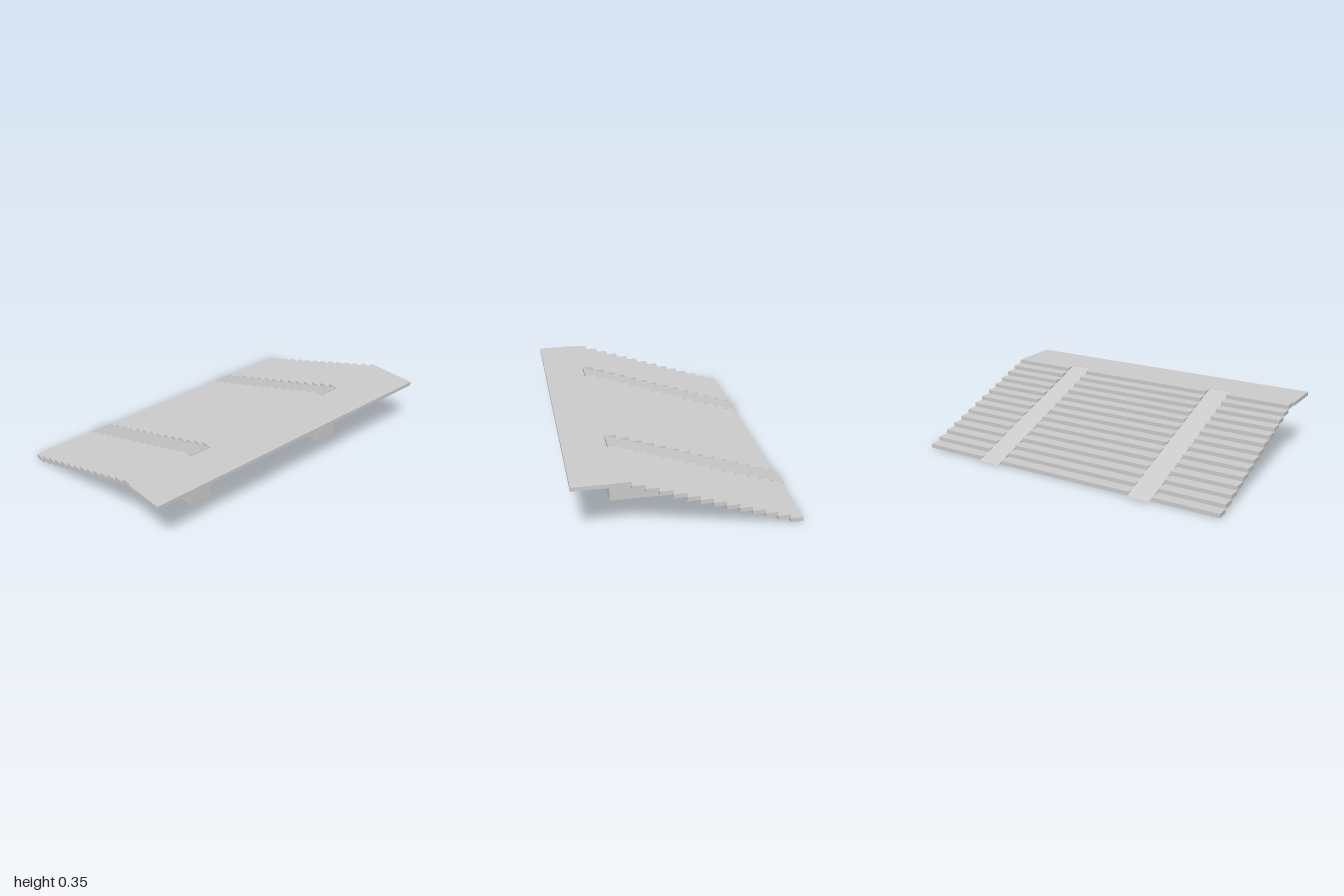
import * as THREE from 'three';

export function createModel() {
  const model = new THREE.Group();
  const material = new THREE.MeshStandardMaterial({ color: 0xcccccc, flatShading: true });

  // Adds a box given by its limits on each axis
  function addBox(parent, name, x0, x1, y0, y1, z0, z1) {
    const mesh = new THREE.Mesh(new THREE.BoxGeometry(x1 - x0, y1 - y0, z1 - z0), material);
    mesh.position.set((x0 + x1) / 2, (y0 + y1) / 2, (z0 + z1) / 2);
    mesh.name = name;
    parent.add(mesh);
  }

  // Treads, split into three runs by the two sloping stringers
  const count = 14, startX = -0.62, run = 0.0729, rise = 0.025;
  const spans = [[-0.998, -0.59], [-0.448, 0.443], [0.585, 0.992]];
  const treads = new THREE.Group();
  treads.name = 'treads';
  for (let i = 0; i < count; i++) {
    const x = startX + i * run, y = i * rise;
    for (const [z0, z1] of spans) {
      addBox(treads, 'tread', x, x + run, y, y + rise, z0, z1);
    }
  }
  model.add(treads);

  // Wedge-shaped stringers
  const profile = new THREE.Shape([
    new THREE.Vector2(-0.648, 0.006),
    new THREE.Vector2(0.394, 0.006),
    new THREE.Vector2(0.394, 0.35),
  ]);
  for (const [z0, z1] of [[-0.59, -0.448], [0.443, 0.585]]) {
    const geometry = new THREE.ExtrudeGeometry(profile, { depth: z1 - z0, bevelEnabled: false });
    const stringer = new THREE.Mesh(geometry, material);
    stringer.position.z = z0;
    stringer.name = 'stringer';
    model.add(stringer);
  }

  // Flat landing at the top
  addBox(model, 'landing', 0.4, 0.648, 0.327, 0.35, -1, 1);

  return model;
}
